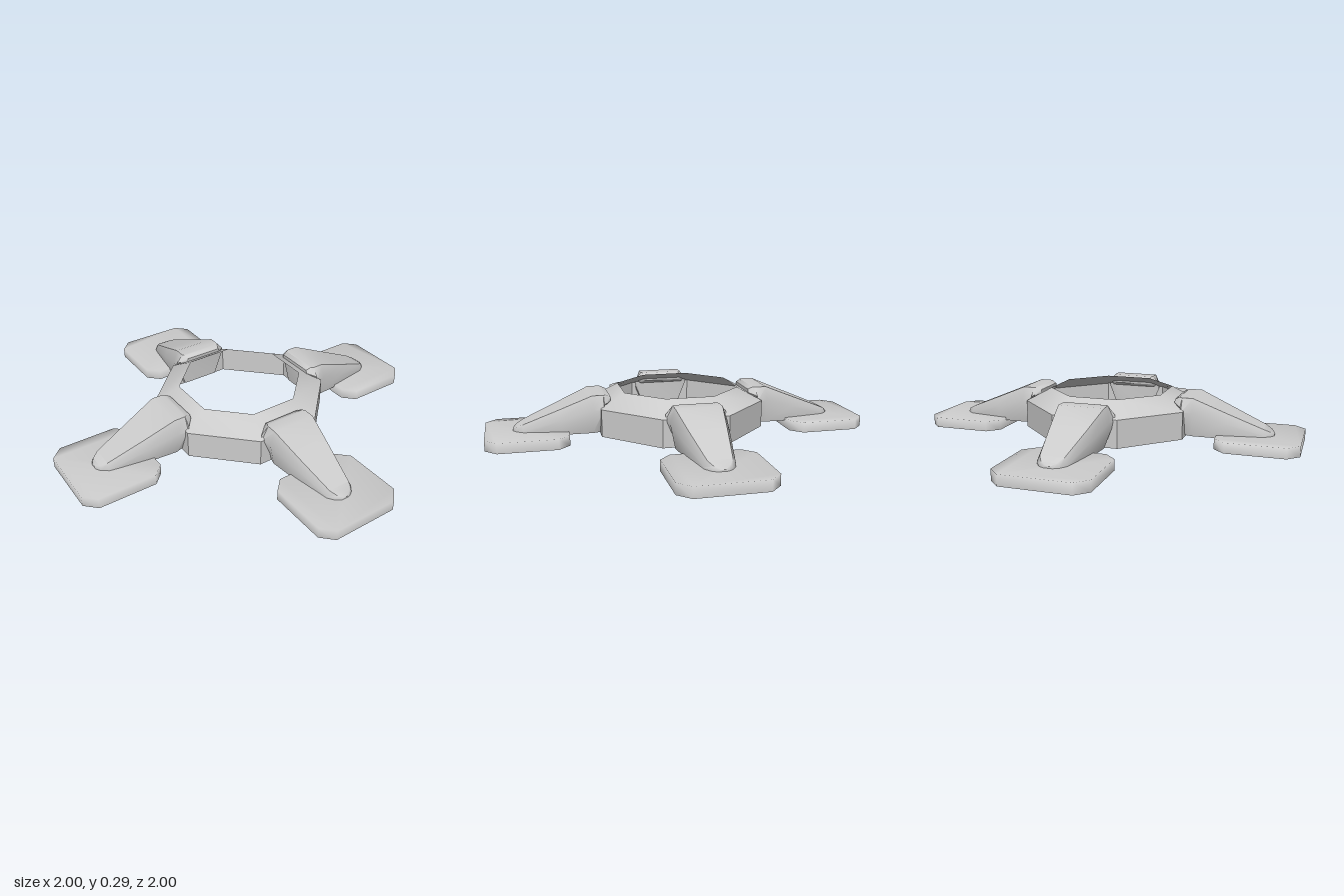
import * as THREE from 'three';
import { toCreasedNormals } from 'three/addons/utils/BufferGeometryUtils.js';

const material = new THREE.MeshStandardMaterial({ color: 0xcccccc, side: THREE.DoubleSide });

// Skin a stack of closed loops of [x, y, z] points; caps are optional.
function loft(loops, capStart, capEnd) {
  const n = loops[0].length;
  const last = (loops.length - 1) * n;
  const index = [];
  for (let i = 0; i < loops.length - 1; i++) {
    for (let j = 0; j < n; j++) {
      const a = i * n + j;
      const b = i * n + ((j + 1) % n);
      index.push(a, b, a + n, b, b + n, a + n);
    }
  }
  for (let j = 1; j < n - 1; j++) {
    if (capStart) index.push(0, j + 1, j);
    if (capEnd) index.push(last, last + j, last + j + 1);
  }
  const geometry = new THREE.BufferGeometry();
  geometry.setAttribute('position', new THREE.Float32BufferAttribute(loops.flat(2), 3));
  geometry.setIndex(index);
  geometry.computeVertexNormals();
  return geometry;
}

// Rectangle with cut corners, lying flat at height y.
// hx, hz: half sizes; fx, fz: half lengths of the uncut edges along x and z.
function cutRectangle(cx, hx, hz, fx, fz, y) {
  return [
    [hx, -fz], [hx, fz], [fx, hz], [-fx, hz],
    [-hx, fz], [-hx, -fz], [-fx, -hz], [fx, -hz],
  ].map(([x, north]) => [cx + x, y, -north]);
}

function mesh(name, geometry) {
  const m = new THREE.Mesh(geometry, material);
  m.name = name;
  return m;
}

// Octagonal collar: an open shell, vertical below and leaning in at the top.
function createCollar() {
  const loops = [[0.505, 0.22, 0.04], [0.505, 0.22, 0.21], [0.36, 0.15, 0.295]]
    .map(([h, f, y]) => cutRectangle(0, h, h, f, f, y));
  return toCreasedNormals(loft(loops, false, false), 0.75);
}

// Foot pad: a shallow tray, open underneath.
function createPad() {
  const loops = [0, 0.065].map((y) => cutRectangle(0.958, 0.251, 0.276, 0.18, 0.205, y));
  return loft(loops, false, true);
}

// Tapered arm, with a lip over the collar and a clamp block below it.
function createArm() {
  // distance out, bottom / middle / top heights, bottom / middle / top half widths
  const stations = [
    [0.445, 0.235, 0.25, 0.27, 0.12, 0.13, 0.12],
    [0.475, 0.215, 0.24, 0.285, 0.15, 0.165, 0.13],
    [0.49, 0.21, 0.235, 0.285, 0.13, 0.182, 0.14],
    [0.495, 0.05, 0.2, 0.285, 0.12, 0.182, 0.14],
    [0.56, 0.05, 0.2, 0.285, 0.14, 0.17, 0.14],
    [0.75, 0.045, 0.14, 0.205, 0.12, 0.135, 0.11],
    [0.98, 0.04, 0.075, 0.11, 0.085, 0.088, 0.07],
    [1.02, 0.04, 0.07, 0.09, 0.055, 0.06, 0.045],
    [1.04, 0.04, 0.06, 0.075, 0.02, 0.03, 0.015],
  ];
  const loops = stations.map(([r, yb, ym, yt, wb, wm, wt]) => [
    [r, yt, -wt], [r, yt, wt], [r, ym, wm],
    [r, yb, wb], [r, yb, -wb], [r, ym, -wm],
  ]);
  return toCreasedNormals(loft(loops, true, true), 0.8);
}

export function createModel() {
  const model = new THREE.Group();
  model.name = 'fourFootedBase';
  model.add(mesh('collar', createCollar()));

  // Four identical legs on the diagonals
  const arm = createArm();
  const pad = createPad();
  const names = ['backLeftLeg', 'backRightLeg', 'frontRightLeg', 'frontLeftLeg'];
  names.forEach((name, i) => {
    const leg = new THREE.Group();
    leg.name = name;
    leg.add(mesh('arm', arm), mesh('footPad', pad));
    leg.rotation.y = Math.PI / 4 + (i * Math.PI) / 2;
    model.add(leg);
  });
  return model;
}
